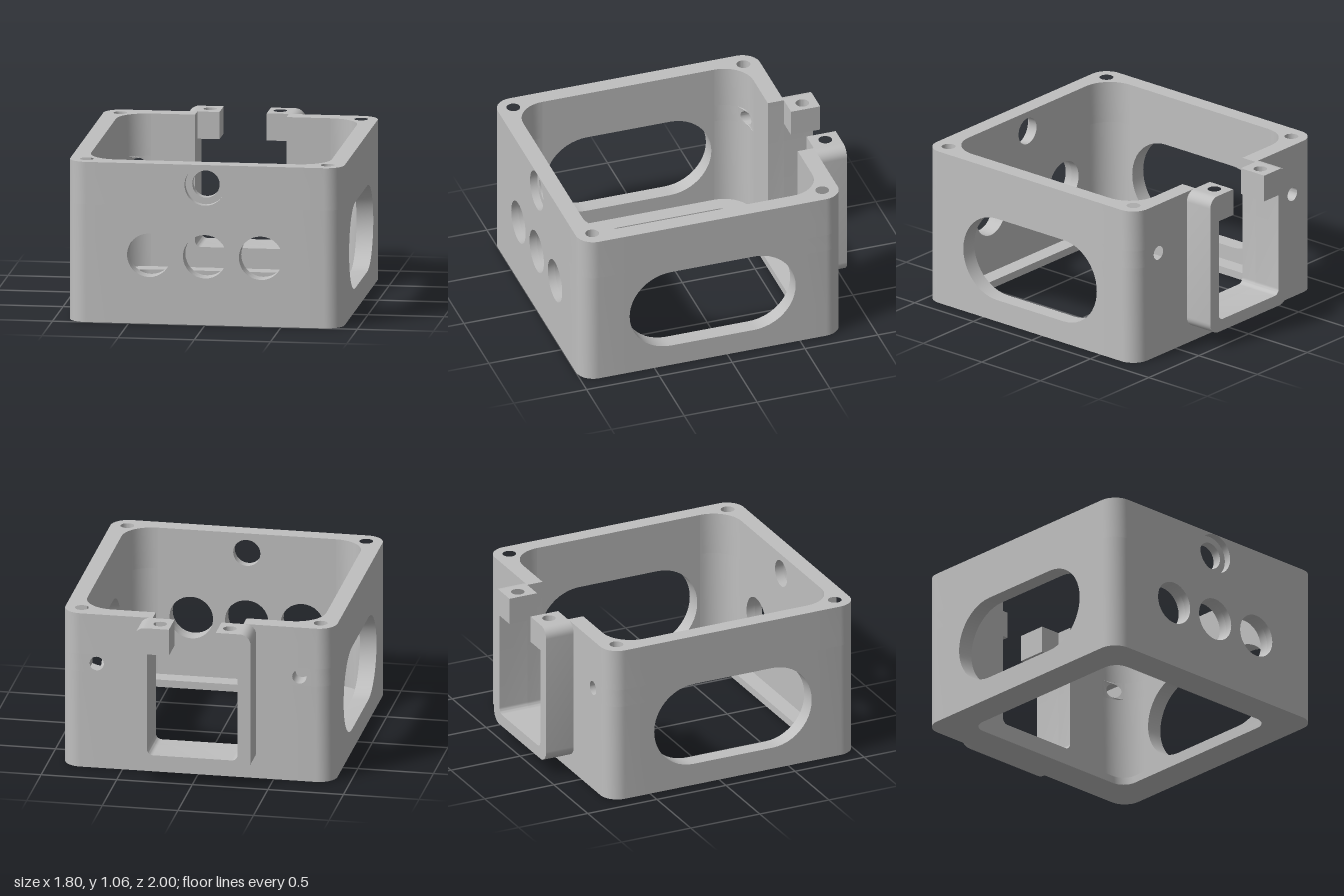
import * as THREE from 'three';
import { toCreasedNormals } from 'three/addons/utils/BufferGeometryUtils.js';

const HEIGHT = 1.06;
const INNER = 0.79, OUTER = 0.9;   // half sizes of cavity and outside
const FLAT = 0.59, CAVITY_R = 0.2; // flat half width of a wall, cavity corner radius
const TAB_Y = 0.88;                // underside of the bracket tabs
const SCREW_Y = 0.78;              // bottom of the corner screw holes

const gray = new THREE.MeshStandardMaterial({ color: 0xbfbfbf });
gray.name = 'gray';

const V = (x, y) => new THREE.Vector2(x, y);

function addMesh(parent, name, geometry) {
  const mesh = new THREE.Mesh(toCreasedNormals(geometry, 0.5), gray);
  mesh.name = name;
  parent.add(mesh);
  return mesh;
}

function extrude(shape, depth) {
  return new THREE.ExtrudeGeometry(shape, { depth, bevelEnabled: false, curveSegments: 16 });
}

// Upright plate: shape in x and y, from z0 to z1
function plate(parent, name, shape, z0, z1) {
  return addMesh(parent, name, extrude(shape, z1 - z0).translate(0, 0, z0));
}

// Lying slab: shape in x and -z, from y0 to y1
function slab(parent, name, shape, y0, y1) {
  return addMesh(parent, name, extrude(shape, y1 - y0).rotateX(-Math.PI / 2).translate(0, y0, 0));
}

function rect(x0, y0, x1, y1) {
  return new THREE.Shape([V(x0, y0), V(x1, y0), V(x1, y1), V(x0, y1)]);
}

function roundHole(shape, x, y, r) {
  shape.holes.push(new THREE.Path().absarc(x, y, r, 0, Math.PI * 2, true));
  return shape;
}

function arcPoints(cx, cy, r, a0, a1, n = 12) {
  return Array.from({ length: n + 1 }, (_, i) => {
    const a = a0 + (a1 - a0) * i / n;
    return V(cx + r * Math.cos(a), cy + r * Math.sin(a));
  });
}

function roundedSquare(half, r) {
  const c = half - r, q = Math.PI / 2;
  const signs = [[1, 1], [-1, 1], [-1, -1], [1, -1]];
  return signs.flatMap(([x, y], i) => arcPoints(x * c, y * c, r, i * q, (i + 1) * q));
}

// U outline with rounded bottom corners inside and out
function uShape(halfOut, halfIn, bottom, floor, top, rOut, rTop, rIn) {
  const q = Math.PI / 2, pts = [];
  const corner = (x, y, r, a0, a1) =>
    pts.push(...(r ? arcPoints(x, y, r, a0, a1, 8) : [V(x, y)]));
  corner(-halfOut + rOut, bottom + rOut, rOut, 2 * q, 3 * q);
  corner(halfOut - rOut, bottom + rOut, rOut, 3 * q, 4 * q);
  corner(halfOut - rTop, top - rTop, rTop, 0, q);
  pts.push(V(halfIn, top));
  corner(halfIn - rIn, floor + rIn, rIn, 0, -q);
  corner(-halfIn + rIn, floor + rIn, rIn, -q, -2 * q);
  pts.push(V(-halfIn, top));
  corner(-halfOut + rTop, top - rTop, rTop, q, 2 * q);
  return new THREE.Shape(pts);
}

// Plan of a corner post; the inner arc can stop early to leave room for a panel
function postShape(side, arcEnd = Math.PI / 2) {
  const inner = arcPoints(FLAT, FLAT, CAVITY_R, 0, arcEnd);
  const pts = [
    ...inner,
    V(inner[inner.length - 1].x, OUTER),
    ...arcPoints(0.78, 0.78, 0.12, Math.PI / 2, 0),
    V(OUTER, FLAT),
  ];
  return new THREE.Shape(pts.map((p) => V(side * p.x, -p.y)));
}

function post(parent, side, top) {
  slab(parent, 'cornerPost', postShape(side), 0, top);
  slab(parent, 'cornerPostTop', roundHole(postShape(side), side * 0.79, -0.79, 0.045), SCREW_Y, HEIGHT);
}

// Drilled panel whose inner face follows the cavity corner
function drilledPanel(parent, side, y0, y1) {
  const x1 = FLAT + CAVITY_R * Math.SQRT1_2, n = 8;
  const xs = Array.from({ length: n + 1 }, (_, i) => FLAT + (x1 - FLAT) * i / n);
  const pts = [...xs.map((x) => V(side * x, y0)), ...xs.reverse().map((x) => V(side * x, y1))];
  const geo = extrude(roundHole(new THREE.Shape(pts), side * 0.67, 0.72, 0.047), 1);
  const pos = geo.attributes.position;
  for (let i = 0; i < pos.count; i++) {
    const dx = Math.abs(pos.getX(i)) - FLAT;
    const inner = FLAT + Math.sqrt(CAVITY_R ** 2 - dx * dx);
    pos.setZ(i, pos.getZ(i) > 0.5 ? OUTER : inner);
  }
  addMesh(parent, 'drilledPanel', geo);
}

export function createModel() {
  const model = new THREE.Group();
  model.name = 'housing';
  const box = new THREE.Group();
  box.name = 'box';
  box.position.z = 0.1;
  model.add(box);

  const face = (name, angle) => {
    const g = new THREE.Group();
    g.name = name;
    g.rotation.y = angle;
    box.add(g);
    return g;
  };

  // Front wall with three ports and a counterbored hole above
  const front = face('front', 0);
  for (const [z0, z1, r] of [[INNER, 0.85, 0.09], [0.85, OUTER, 0.134]]) {
    const wall = rect(-FLAT, 0, FLAT, HEIGHT);
    for (const x of [-0.367, 0, 0.367]) roundHole(wall, x, 0.453, 0.144);
    plate(front, 'frontWall', roundHole(wall, 0, 0.925, r), z0, z1);
  }

  // Side walls with a long window
  for (const side of [-1, 1]) {
    const wall = rect(-FLAT, 0, FLAT, HEIGHT);
    const q = Math.PI / 2;
    wall.holes.push(new THREE.Path([
      ...arcPoints(0.285, 0.435, 0.285, -q, q, 24),
      ...arcPoints(-0.285, 0.435, 0.285, q, 3 * q, 24),
    ]));
    plate(face(side > 0 ? 'leftSide' : 'rightSide', side * q), 'sideWall', wall, INNER, OUTER);
  }

  // Back wall, open in the middle down to the bracket floor
  const back = face('back', Math.PI);
  plate(back, 'backWall', uShape(FLAT, 0.3, 0, 0.185, HEIGHT, 0, 0, 0.04), INNER, OUTER);

  // Bracket behind the opening
  plate(back, 'bracket', uShape(0.385, 0.3, 0.105, 0.185, HEIGHT, 0.08, 0.07, 0.04), OUTER, 1.1);

  for (const side of [-1, 1]) {
    // Drilled tabs at the top of the bracket
    const tab = rect(side * 0.155, -1.1, side * 0.3, -OUTER);
    slab(back, 'bracketTab', roundHole(tab, side * 0.23, -1.003, 0.044), TAB_Y, HEIGHT);

    // Corner posts; the back ones are drilled crosswise
    post(front, side, SCREW_Y);
    post(back, side, 0.66);
    slab(back, 'cornerPostMiddle', postShape(side, Math.PI / 4), 0.66, SCREW_Y);
    drilledPanel(back, side, 0.66, SCREW_Y);
  }

  // Thin ledge around the open bottom
  const ledge = new THREE.Shape(roundedSquare(INNER, CAVITY_R));
  ledge.holes.push(new THREE.Path(roundedSquare(0.68, 0.1)));
  slab(box, 'bottomLedge', ledge, 0, 0.05);

  return model;
}
